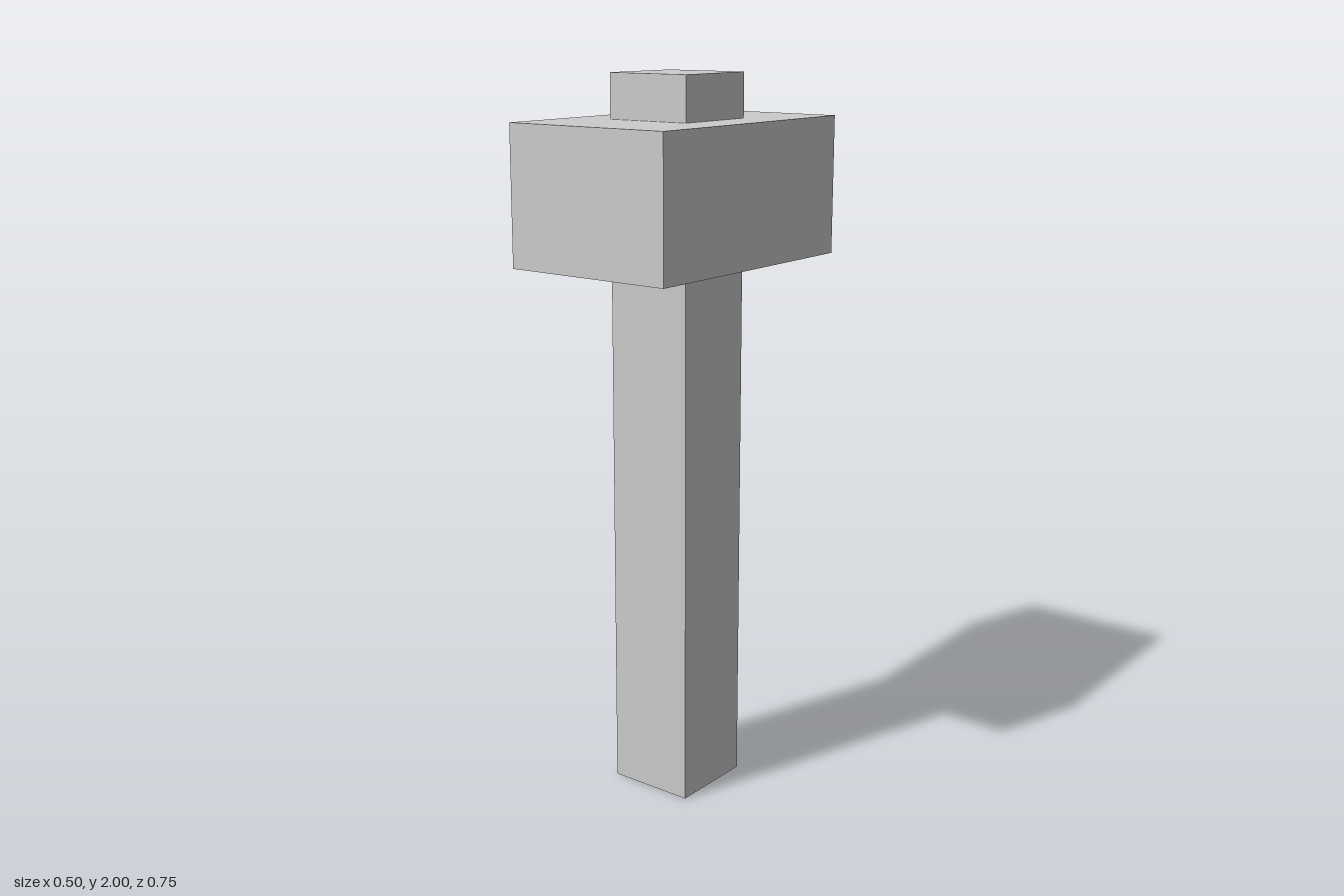
import * as THREE from 'three';

const material = new THREE.MeshStandardMaterial({ color: 0xcccccc, flatShading: true });

// Box resting on height `bottom`, centred on the vertical axis
function block(name, width, height, depth, bottom) {
  const mesh = new THREE.Mesh(new THREE.BoxGeometry(width, height, depth), material);
  mesh.name = name;
  mesh.position.y = bottom + height / 2;
  return mesh;
}

export function createModel() {
  const hammer = new THREE.Group();
  hammer.name = 'hammer';

  // Square handle runs right through the head and pokes out on top
  hammer.add(block('handle', 0.25, 2, 0.25, 0));

  // Heavy head, longest from front to back
  hammer.add(block('head', 0.5, 0.375, 0.75, 1.505));

  return hammer;
}
